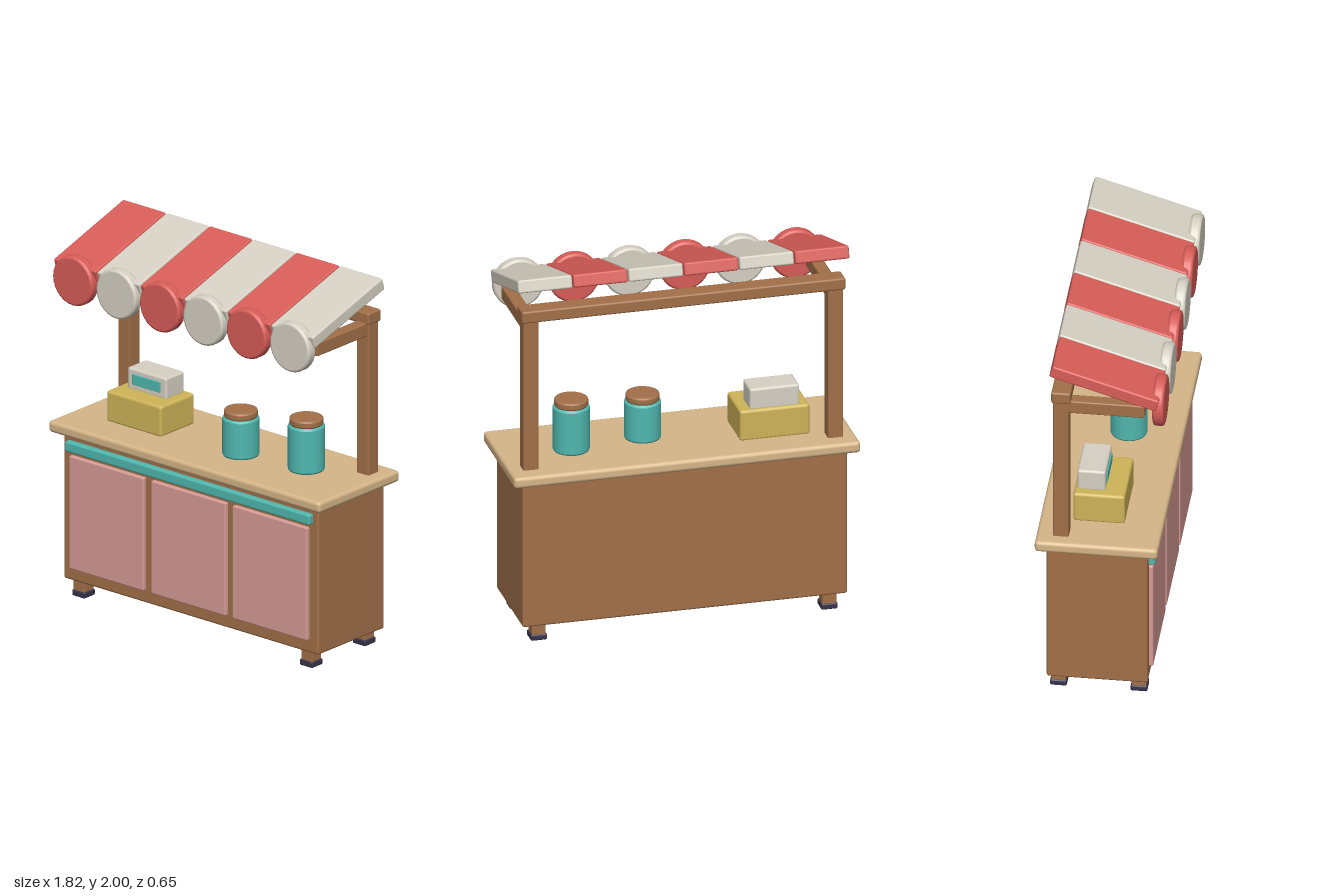
import * as THREE from 'three';
import { RoundedBoxGeometry } from 'three/addons/geometries/RoundedBoxGeometry.js';

const material = (name, color) => {
  const m = new THREE.MeshStandardMaterial({ color });
  m.name = name;
  return m;
};

export function createModel() {
  const wood = material('wood', 0xa27048);
  const paleWood = material('paleWood', 0xd6b688);
  const red = material('red', 0xd85d58);
  const cream = material('cream', 0xd6d1c3);
  const teal = material('teal', 0x50b8b0);
  const pink = material('pink', 0xd89c96);
  const yellow = material('yellow', 0xcfb458);
  const dark = material('dark', 0x38334a);

  const stall = new THREE.Group();
  stall.name = 'marketStall';

  const add = (name, geometry, mat, x = 0, y = 0, z = 0) => {
    const mesh = new THREE.Mesh(geometry, mat);
    mesh.name = name;
    mesh.position.set(x, y, z);
    stall.add(mesh);
    return mesh;
  };

  // Soft-edged box given by its extents on each axis
  const box = (name, mat, [x0, x1], [y0, y1], [z0, z1], r = 0.01) =>
    add(name, new RoundedBoxGeometry(x1 - x0, y1 - y0, z1 - z0, 2, r), mat,
      (x0 + x1) / 2, (y0 + y1) / 2, (z0 + z1) / 2);

  // Cylinder with a small bevel on both rims, standing on y = 0
  const disc = (radius, height, bevel, sides = 28) => {
    const b = bevel, k = bevel * 0.3;
    const outline = [
      [0, 0], [radius - b, 0], [radius - b, 0], [radius - k, k], [radius, b], [radius, b],
      [radius, height - b], [radius, height - b], [radius - k, height - k],
      [radius - b, height], [radius - b, height], [0, height],
    ];
    return new THREE.LatheGeometry(outline.map(([x, y]) => new THREE.Vector2(x, y)), sides);
  };

  // Cabinet and counter
  box('cabinet', wood, [-0.853, 0.853], [0.085, 0.885], [-0.27, 0.248], 0.012);
  box('countertop', paleWood, [-0.91, 0.91], [0.88, 0.942], [-0.325, 0.305], 0.02);
  for (const x of [-0.55, 0, 0.545]) {
    box('frontPanel', pink, [x - 0.25, x + 0.25], [0.155, 0.768], [0.235, 0.27], 0.008);
  }
  box('trimStrip', teal, [-0.82, 0.82], [0.79, 0.846], [0.24, 0.281], 0.01);

  // Feet, posts and awning arms on both sides
  for (const side of [-1, 1]) {
    for (const z of [-0.215, 0.197]) {
      const x = side * 0.763;
      box('foot', wood, [x - 0.037, x + 0.037], [0.025, 0.1], [z - 0.037, z + 0.037], 0.005);
      box('footPad', dark, [x - 0.043, x + 0.043], [0, 0.033], [z - 0.043, z + 0.043], 0.008);
    }
    const x = side * 0.8;
    box('post', wood, [x - 0.04, x + 0.04], [0.93, 1.8], [-0.238, -0.158], 0.008);
    box('awningArm', wood, [x - 0.034, x + 0.034], [1.697, 1.77], [-0.18, 0.23], 0.008);
  }
  box('topBeam', wood, [-0.85, 0.85], [1.76, 1.825], [-0.247, -0.147], 0.01);

  // Sloping awning slats, each ending in a round scallop
  for (let i = 0; i < 6; i++) {
    const x = (i - 2.5) * 0.291;
    const mat = i % 2 ? cream : red;
    const slat = add('awningSlat', new RoundedBoxGeometry(0.285, 0.068, 0.571, 2, 0.01),
      mat, x, 1.883, 0.027);
    slat.rotation.x = 0.301;
    const scallop = add('awningScallop', disc(0.133, 0.058, 0.012), mat, x, 1.748, 0.27);
    scallop.rotation.x = Math.PI / 2;
  }

  // Cash register
  box('registerBase', yellow, [-0.687, -0.32], [0.935, 1.105], [-0.155, 0.11], 0.016);
  box('registerHead', cream, [-0.637, -0.375], [1.095, 1.215], [-0.14, 0.005], 0.014);
  box('registerScreen', teal, [-0.598, -0.412], [1.13, 1.187], [0.003, 0.012], 0.003);

  // Lidded jars
  for (const [x, z, top] of [[0.145, 0.027, 1.15], [0.535, -0.03, 1.188]]) {
    add('jar', disc(0.095, top - 0.938, 0.012), teal, x, 0.938, z);
    add('jarLid', disc(0.087, 0.04, 0.009), wood, x, top - 0.003, z);
  }

  return stall;
}
